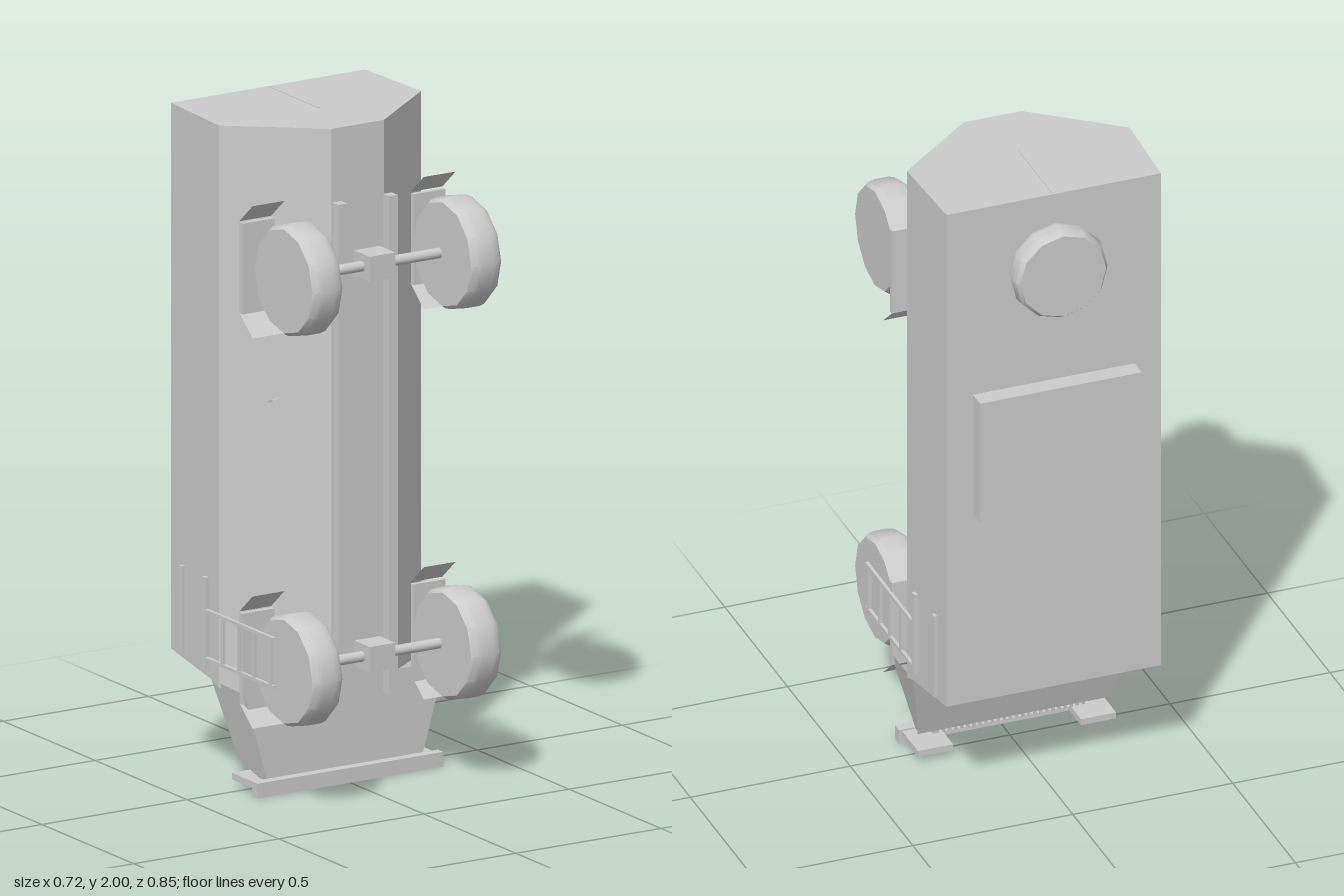
import * as THREE from 'three';
import { toCreasedNormals } from 'three/addons/utils/BufferGeometryUtils.js';

const paint = new THREE.MeshStandardMaterial({ color: 0xcccccc, side: THREE.DoubleSide });
paint.name = 'light grey';

export function createModel() {
  const model = new THREE.Group();
  model.name = 'armouredTruck';

  function add(name, geometry, x = 0, y = 0, z = 0) {
    const mesh = new THREE.Mesh(geometry, paint);
    mesh.name = name;
    mesh.position.set(x, y, z);
    model.add(mesh);
    return mesh;
  }

  // Box given by its limits on each axis
  function box(name, x0, x1, y0, y1, z0, z1) {
    return add(name, new THREE.BoxGeometry(x1 - x0, y1 - y0, z1 - z0),
      (x0 + x1) / 2, (y0 + y1) / 2, (z0 + z1) / 2);
  }

  // Flat-faced surface from a list of polygons
  function faces(polygons) {
    const p = [];
    for (const q of polygons) {
      for (let i = 1; i < q.length - 1; i++) p.push(...q[0], ...q[i], ...q[i + 1]);
    }
    const g = new THREE.BufferGeometry();
    g.setAttribute('position', new THREE.Float32BufferAttribute(p, 3));
    g.computeVertexNormals();
    return g;
  }
  const flip = ([x, y, z]) => [-x, y, z];

  // Tyre with rounded shoulders, axis along y
  function tyre(radius, width) {
    const h = width / 2;
    const profile = [[0, -h], [radius - 0.013, -h], [radius - 0.004, -h + 0.012], [radius, -h + 0.03],
      [radius, h - 0.03], [radius - 0.004, h - 0.012], [radius - 0.013, h], [0, h]];
    const g = new THREE.LatheGeometry(profile.map(([r, y]) => new THREE.Vector2(r, y)), 12);
    return toCreasedNormals(g, 0.62);
  }

  // V-shaped hull: x, z and lower end of each long edge
  const half = [[0.335, -0.348, 0.35], [0.346, -0.11, 0.315], [0.348, -0.065, 0.3], [0.09, 0.14, 0.31]];
  const ring = [...half, ...half.slice().reverse().map(flip)];
  const top = ring.map(([x, z]) => [x, 2, z]);
  const low = ring.map(([x, z, y]) => [x, y, z]);
  const hull = [top.slice().reverse()];
  for (let i = 0; i < 8; i++) {
    const j = (i + 1) % 8;
    hull.push([top[i], top[j], low[j], low[i]]);
  }
  for (let i = 0; i < 3; i++) hull.push([low[i], low[i + 1], low[6 - i], low[7 - i]]);
  add('hull', faces(hull));

  // Tapered bonnet, an open shell
  const A = [0.346, 0.31, 0.07], B = [0.346, 0.315, -0.11], C = [0.3, 0.085, -0.035], D = [0.262, 0.02, 0.07];
  const [a, b, c, d] = [A, B, C, D].map(flip);
  add('bonnet', faces([[D, C, B, A], [a, b, c, d], [C, c, b, B], [D, d, c, C], [A, a, d, D]]));

  // Grille slats on the sloping nose
  for (let i = 0; i < 25; i++) {
    const slat = add('grilleSlat', new THREE.BoxGeometry(0.008, 0.008, 0.1), (i - 12) * 0.019, 0.05, 0.016);
    slat.rotation.x = Math.atan2(0.065, 0.105);
  }

  // Bumper
  box('bumper', -0.32, 0.32, 0, 0.045, 0.07, 0.1);

  // Roof fittings and rear door seam
  box('roofHatch', -0.253, 0.253, 0.98, 1.38, -0.405, -0.345);
  add('spareWheel', tyre(0.147, 0.08), 0, 1.765, -0.385).rotation.x = Math.PI / 2;
  box('rearDoorSeam', -0.003, 0.003, 1.995, 2.002, -0.34, -0.07);

  // Axles with differentials
  for (const y of [0.42, 1.6]) {
    add('axle', new THREE.CylinderGeometry(0.016, 0.016, 0.46, 12), 0, y, 0.232).rotation.z = Math.PI / 2;
    box('differential', -0.044, 0.044, y - 0.038, y + 0.038, 0.19, 0.275);
  }

  // Parts repeated on both sides
  for (const s of [-1, 1]) {
    const sided = (name, x0, x1, ...rest) =>
      box(name, Math.min(s * x0, s * x1), Math.max(s * x0, s * x1), ...rest);

    sided('chassisRail', 0.072, 0.102, 0.28, 1.785, 0.165, 0.197);
    sided('bumperBracket', 0.2, 0.31, 0.02, 0.04, -0.055, 0.07);

    for (const y of [0.42, 1.6]) {
      add('wheel', tyre(0.17, 0.103), s * 0.2735, y, 0.25).rotation.z = Math.PI / 2;

      // Mudguard: flat middle plate and two splayed ends
      sided('mudguard', 0.24, 0.35, y - 0.14, y + 0.135, 0.05, 0.066);
      for (const e of [-1, 1]) {
        const y0 = y + e * 0.138, y1 = y + e * 0.2;
        add('mudguardEnd', faces([[[s * 0.24, y0, 0.048], [s * 0.35, y0, 0.048],
          [s * 0.35, y1, 0.12], [s * 0.24, y1, 0.12]]]));
      }
    }

    // Side ladder
    for (const y of [0.375, 0.52]) sided('ladderRail', 0.348, 0.358, y - 0.005, y + 0.005, -0.13, 0.243);
    for (const z of [0.225, 0.135, 0.055, -0.035]) {
      sided('ladderRung', 0.348, 0.358, 0.375, 0.52, z - 0.006, z + 0.006);
    }

    // Door handles
    sided('doorHandle', 0.34, 0.357, 0.35, 0.62, -0.143, -0.125);
    sided('doorHandle', 0.335, 0.349, 0.35, 0.62, -0.282, -0.264);
  }

  // Exhaust tip on one side
  const tip = add('exhaustTip', new THREE.BoxGeometry(0.024, 0.006, 0.024), -0.333, 1.233, 0.208);
  tip.rotation.set(-0.4, 0, 0.2);

  return model;
}
